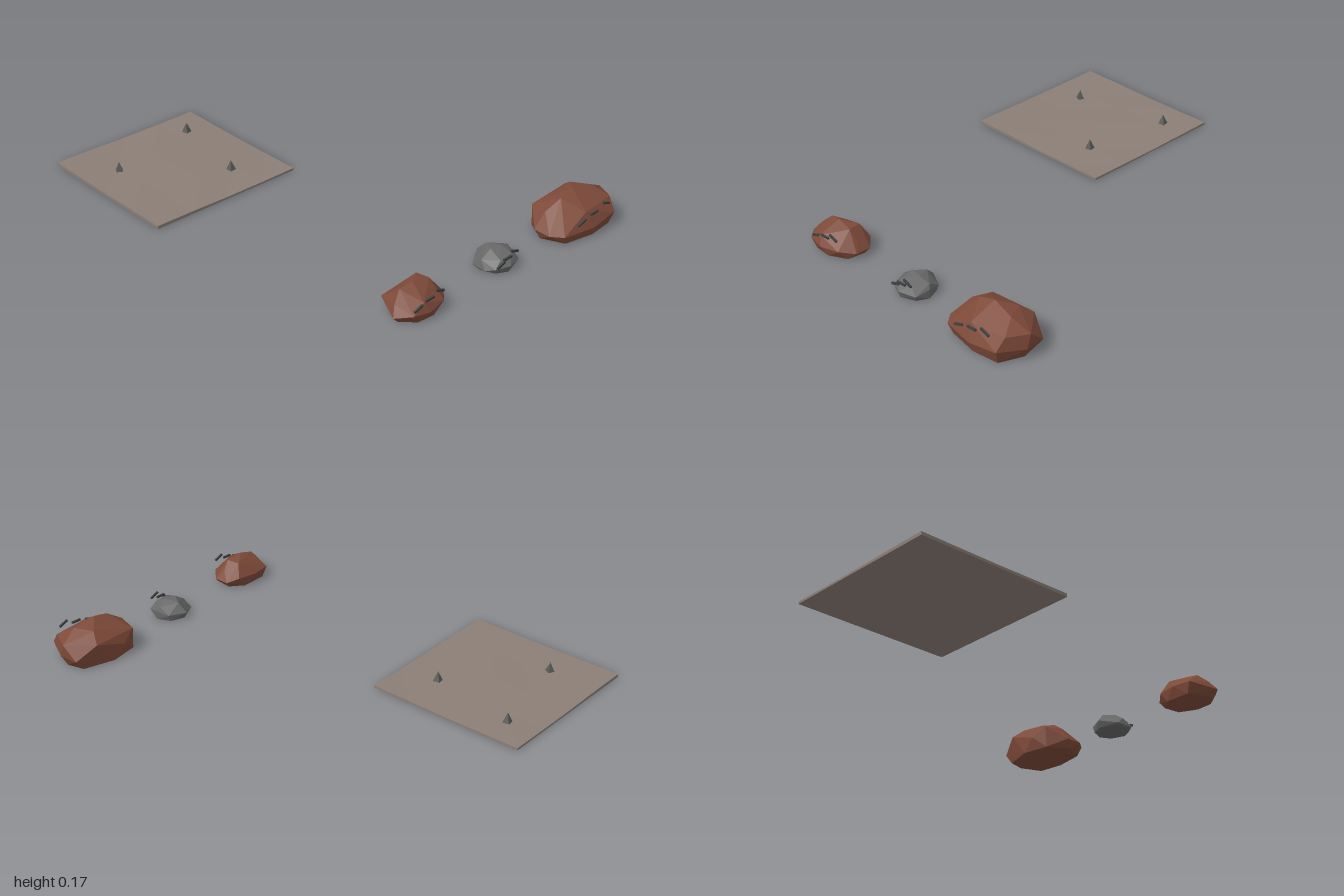
import * as THREE from 'three';
import { ConvexGeometry } from 'three/addons/geometries/ConvexGeometry.js';

const mat = (name, color) => {
  const m = new THREE.MeshStandardMaterial({ color, flatShading: true });
  m.name = name;
  return m;
};

export function createModel() {
  const group = new THREE.Group();
  const earth = mat('earth', 0x8b7e76);
  const rust = mat('rustStone', 0x7e4a39);
  const grey = mat('greyStone', 0x686868);
  const spikeMat = mat('spikeStone', 0x5a5a57);
  const dark = mat('darkCrack', 0x3e4242);

  const add = (name, geometry, material, x = 0, y = 0, z = 0, parent = group) => {
    const mesh = new THREE.Mesh(geometry, material);
    mesh.name = name;
    mesh.position.set(x, y, z);
    parent.add(mesh);
    return mesh;
  };

  // Ground tile with a gently uneven top
  const tile = new THREE.BoxGeometry(0.75, 0.01, 0.74, 4, 1, 4);
  const p = tile.attributes.position;
  for (let i = 0; i < p.count; i++) {
    if (p.getY(i) > 0) {
      const x = p.getX(i), z = p.getZ(i);
      p.setY(i, 0.006 - x * 0.006 + 0.002 * Math.sin(x * 9 + 1) * Math.cos(z * 8));
    }
  }
  tile.computeVertexNormals();
  add('groundTile', tile, earth, -0.375, 0.005, -0.63);

  // Small four-sided spikes standing on the tile
  [[-0.585, -0.76, 0.3], [-0.135, -0.855, 0.95], [-0.21, -0.44, 0.9]].forEach(([x, z, turn]) => {
    add('spike', new THREE.ConeGeometry(0.022, 0.045, 4), spikeMat, x, 0.0325, z).rotation.y = turn;
  });

  // Faceted boulder: convex hull of [x, y, z] corners, with three crack bars in front
  const boulder = (name, material, corners, cracks, crackZ) => {
    const rock = new THREE.Group();
    rock.name = name;
    group.add(rock);
    const points = corners.map((c) => new THREE.Vector3(...c));
    add(name + 'Body', new ConvexGeometry(points), material, 0, 0, 0, rock);
    cracks.forEach(([x, y, tilt]) => {
      add('crack', new THREE.BoxGeometry(0.046, 0.009, 0.008), dark, x, y, crackZ, rock).rotation.z = tilt;
    });
  };

  boulder('largeBoulder', rust, [
    [0.375, 0, 0.86], [0.42, 0, 0.96], [0.56, 0, 0.985], [0.68, 0, 0.97],
    [0.72, 0, 0.87], [0.70, 0, 0.79], [0.56, 0, 0.745], [0.43, 0, 0.765],
    [0.36, 0.04, 0.84], [0.36, 0.04, 0.92], [0.40, 0.04, 0.97], [0.55, 0.04, 0.997],
    [0.69, 0.06, 0.99], [0.745, 0.05, 0.88], [0.74, 0.05, 0.79], [0.50, 0.06, 0.74],
    [0.41, 0.11, 0.85], [0.43, 0.10, 0.76], [0.65, 0.11, 0.75], [0.745, 0.11, 0.86],
    [0.70, 0.115, 0.95], [0.53, 0.11, 0.965], [0.48, 0.155, 0.87], [0.555, 0.175, 0.865],
    [0.66, 0.155, 0.88], [0.62, 0.15, 0.80],
  ], [[0.483, 0.087, 0.35], [0.557, 0.106, 0.05], [0.63, 0.124, -0.35]], 0.987);

  boulder('smallBoulder', rust, [
    [-0.485, 0, 0.90], [-0.43, 0, 0.955], [-0.35, 0, 0.96], [-0.27, 0, 0.92],
    [-0.26, 0, 0.84], [-0.32, 0, 0.79], [-0.44, 0, 0.79],
    [-0.515, 0.03, 0.905], [-0.46, 0.04, 0.96], [-0.38, 0.035, 0.975], [-0.29, 0.04, 0.955],
    [-0.237, 0.03, 0.90], [-0.237, 0.03, 0.83], [-0.28, 0.05, 0.79], [-0.37, 0.05, 0.77],
    [-0.46, 0.05, 0.78], [-0.485, 0.07, 0.88], [-0.40, 0.075, 0.955], [-0.265, 0.07, 0.87],
    [-0.44, 0.11, 0.86], [-0.38, 0.124, 0.87], [-0.30, 0.112, 0.88], [-0.31, 0.11, 0.82],
  ], [[-0.43, 0.062, 0.35], [-0.37, 0.08, 0.05], [-0.315, 0.096, -0.35]], 0.955);

  boulder('greyBoulder', grey, [
    [0.015, 0, 0.86], [0.04, 0, 0.92], [0.09, 0, 0.945], [0.155, 0, 0.92],
    [0.18, 0, 0.87], [0.155, 0, 0.81], [0.09, 0, 0.785], [0.03, 0, 0.82],
    [0.01, 0.01, 0.82], [0.01, 0.01, 0.89], [0.03, 0.025, 0.93], [0.09, 0.03, 0.955],
    [0.165, 0.025, 0.93], [0.18, 0.04, 0.87], [0.165, 0.03, 0.81], [0.09, 0.03, 0.77],
    [0.02, 0.045, 0.86], [0.06, 0.055, 0.925], [0.13, 0.06, 0.92], [0.17, 0.06, 0.86],
    [0.07, 0.078, 0.86], [0.12, 0.08, 0.87], [0.10, 0.072, 0.81],
  ], [[0.053, 0.042, 0.35], [0.09, 0.06, 0.05], [0.128, 0.078, -0.35]], 0.937);

  return group;
}
